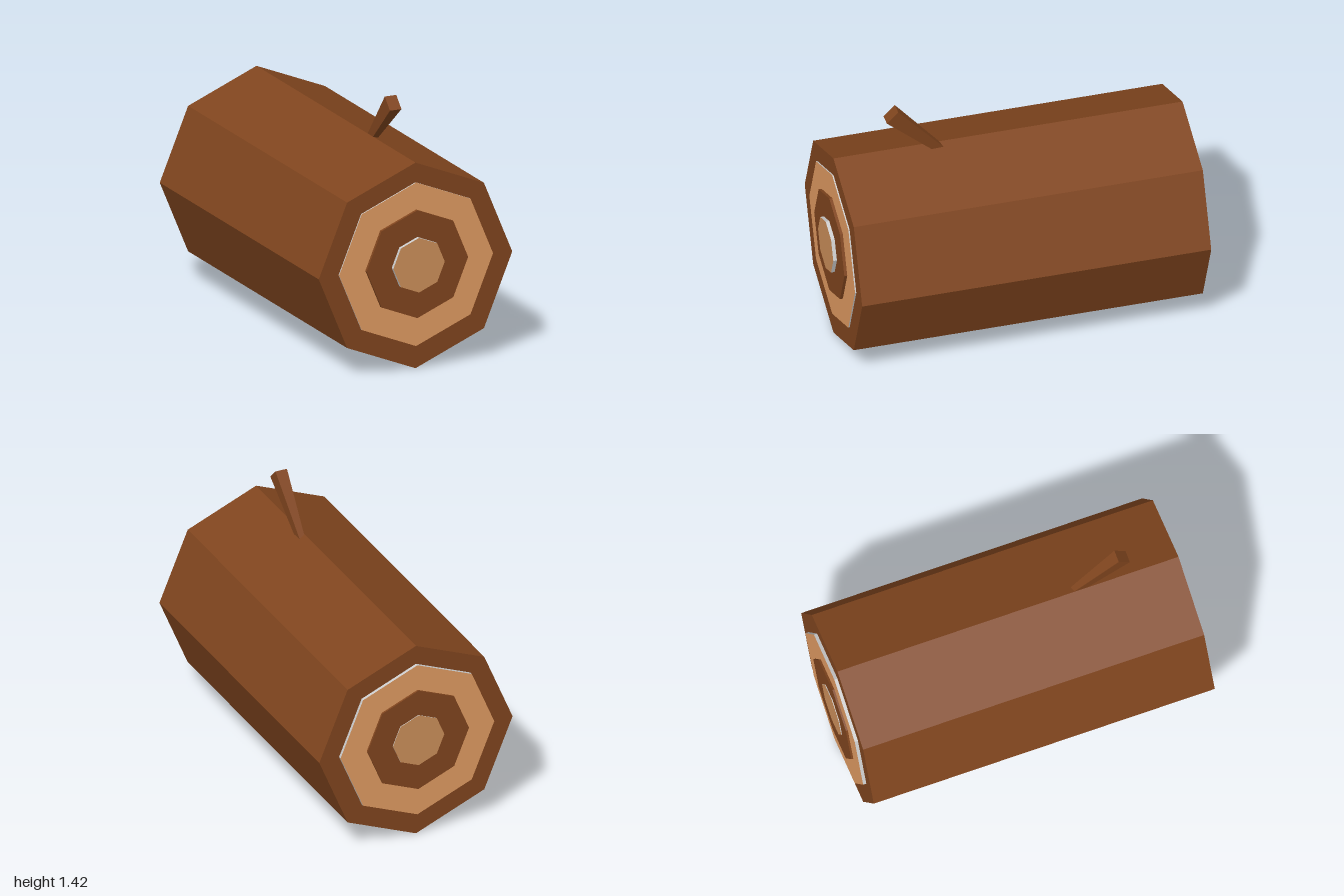
import * as THREE from 'three';

const mat = (color) => new THREE.MeshStandardMaterial({ color, flatShading: true });
const bark = mat(0x80451e);
const paleWood = mat(0xe09b62);
const heartWood = mat(0xcc8f5a);
const grey = mat(0xcccccc);

// Eight-sided prism lying along z, corner pointing up
function prism(name, radius, y, z0, z1, rim, face) {
  const geo = new THREE.CylinderGeometry(radius, radius, z1 - z0, 8);
  geo.rotateX(Math.PI / 2);
  const mesh = new THREE.Mesh(geo, [rim, face, face]);
  mesh.position.set(0, y, (z0 + z1) / 2);
  mesh.name = name;
  return mesh;
}

// Square twig that widens from its base to its tip
function createTwig() {
  const base = new THREE.Vector3(0.02, 1.11, 0.372);
  const tip = new THREE.Vector3(0.019, 1.388, 0.646);
  const length = base.distanceTo(tip);
  const geo = new THREE.BoxGeometry(1, length, 1);
  const pos = geo.attributes.position;
  for (let i = 0; i < pos.count; i++) {
    const atTip = pos.getY(i) > 0;
    pos.setX(i, pos.getX(i) * (atTip ? 0.068 : 0.031));
    pos.setZ(i, pos.getZ(i) * (atTip ? 0.088 : 0.044));
  }
  geo.computeVertexNormals();
  const twig = new THREE.Mesh(geo, bark);
  twig.name = 'twig';
  twig.position.copy(base).add(tip).multiplyScalar(0.5);
  twig.rotation.x = Math.atan2(tip.z - base.z, tip.y - base.y);
  return twig;
}

export function createModel() {
  const group = new THREE.Group();
  group.name = 'log';
  group.add(prism('trunk', 0.572, 0.573, -0.967, 0.957, bark, bark));

  // Growth rings: thin stacked discs on both cut ends
  const rings = [
    ['outerRing', 0.455, 0.581, 0.964, -0.985, grey, paleWood],
    ['middleRing', 0.3, 0.586, 0.98, -0.996, bark, bark],
    ['heart', 0.152, 0.586, 1.0, -1.0, grey, heartWood],
  ];
  for (const [name, radius, y, front, back, rim, face] of rings) {
    group.add(prism(name + 'Front', radius, y, 0.94, front, rim, face));
    group.add(prism(name + 'Back', radius, y, back, -0.94, rim, face));
  }

  group.add(createTwig());
  return group;
}
